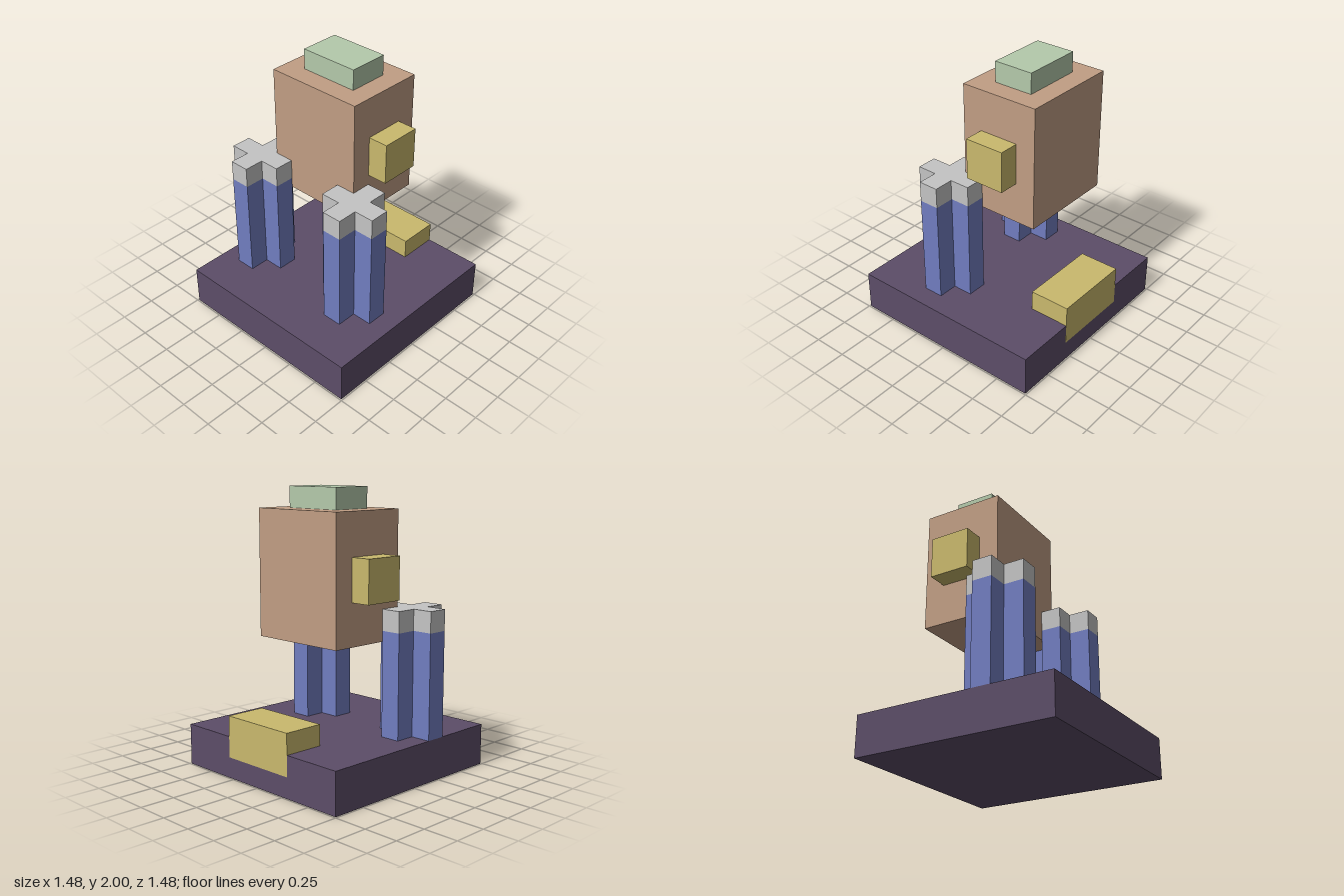
import * as THREE from 'three';

const U = 2 / 13.5; // one grid cell of the blocky model

const paint = (name, color) => {
  const m = new THREE.MeshStandardMaterial({ color });
  m.name = name;
  return m;
};

export function createModel() {
  const group = new THREE.Group();
  group.name = 'blockFigure';

  const purple = paint('dark purple', 0x5c4d68);
  const blue = paint('blue', 0x717dc0);
  const grey = paint('light grey', 0xc4c4c4);
  const tan = paint('tan', 0xc19e84);
  const yellow = paint('mustard', 0xc9b96d);
  const green = paint('pale green', 0xb4c9ab);

  const add = (name, geometry, material, parent = group) => {
    const mesh = new THREE.Mesh(geometry, material);
    mesh.name = name;
    parent.add(mesh);
    return mesh;
  };

  // Box given by its lower and upper corners in cells
  const box = (name, material, a, b) => {
    const [w, h, d] = a.map((v, i) => (b[i] - v) * U);
    const mesh = add(name, new THREE.BoxGeometry(w, h, d), material);
    mesh.position.set(...a.map((v, i) => ((v + b[i]) / 2) * U));
  };

  // Base slab and the step set into its back edge, a hair proud of it
  box('base', purple, [-5, 0, -5], [5, 2, 5]);
  box('backStep', yellow, [-2, 1, -5.01], [2, 3, -3]);

  // Body, side blocks and top block
  box('body', tan, [-3, 6.5, -3], [2, 12.5, 1]);
  box('rightEar', yellow, [-4, 8.5, -2], [-3, 10.5, 0]);
  box('leftEar', yellow, [2, 8.5, -2], [3, 10.5, 0]);
  box('hat', green, [-2, 12.5, -2], [1, 13.5, 0]);

  // Plus-shaped pillars with grey caps
  const plus = new THREE.Shape();
  for (let i = 0; i < 4; i++) {
    const c = Math.cos(i * Math.PI / 2), s = Math.sin(i * Math.PI / 2);
    for (const [x, y] of [[0.5, -0.5], [1.5, -0.5], [1.5, 0.5]]) {
      const px = (x * c - y * s) * U, py = (x * s + y * c) * U;
      if (i === 0 && y < 0 && x < 1) plus.moveTo(px, py);
      else plus.lineTo(px, py);
    }
  }
  plus.closePath();

  const prism = (y0, y1) =>
    new THREE.ExtrudeGeometry(plus, { depth: (y1 - y0) * U, bevelEnabled: false })
      .rotateX(-Math.PI / 2)
      .translate(0, y0 * U, 0);

  for (const [name, x] of [['rightPillar', -3.5], ['leftPillar', 2.5]]) {
    const pillar = new THREE.Group();
    pillar.name = name;
    pillar.position.set(x * U, 0, 1.5 * U);
    add('shaft', prism(2, 7), blue, pillar);
    add('cap', prism(7, 8), grey, pillar);
    group.add(pillar);
  }

  return group;
}
